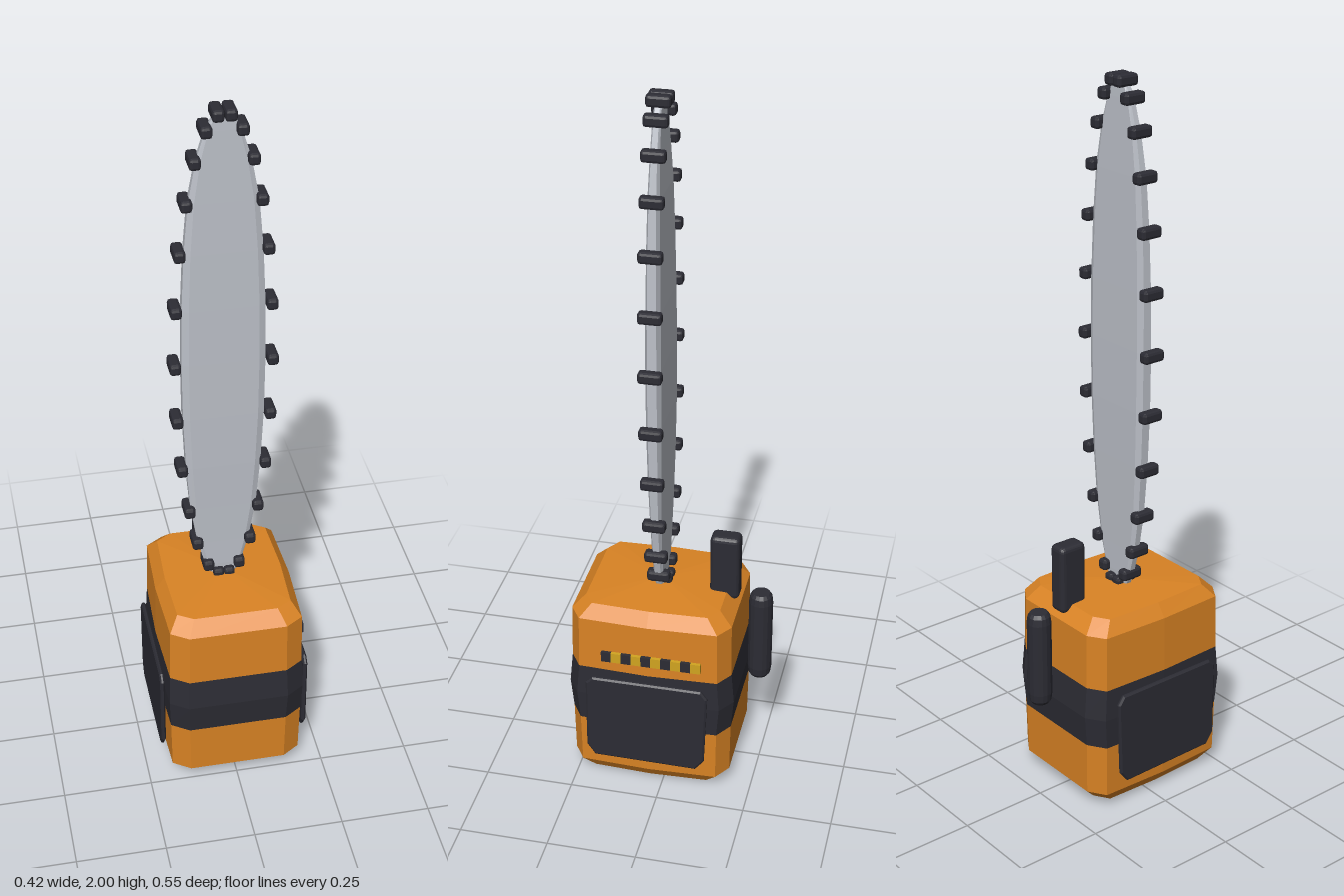
import * as THREE from 'three';
import { RoundedBoxGeometry } from 'three/addons/geometries/RoundedBoxGeometry.js';

const mat = (name, color, extra = {}) => Object.assign(new THREE.MeshStandardMaterial({ color, flatShading: true, ...extra }), { name });

// Centre of body and blade along z
const CZ = 0.038;

// Flat-shaded loft through rings of [x, y, z] points, with optional cap apexes
function loft(rings, bottom, top) {
  const pos = [];
  const tri = (...pts) => pts.forEach(p => pos.push(...p));
  const n = rings[0].length;
  for (let j = 0; j < n; j++) {
    const k = (j + 1) % n;
    for (let i = 0; i < rings.length - 1; i++) {
      const a = rings[i][j], b = rings[i][k], c = rings[i + 1][j], d = rings[i + 1][k];
      tri(a, c, b);
      tri(b, c, d);
    }
    if (bottom) tri(bottom, rings[0][j], rings[0][k]);
    const last = rings[rings.length - 1];
    if (top) tri(top, last[k], last[j]);
  }
  const g = new THREE.BufferGeometry();
  g.setAttribute('position', new THREE.Float32BufferAttribute(pos, 3));
  g.computeVertexNormals();
  return g;
}

// Ten-sided housing section with bulging sides and cut corners
const SECTION = [[0.198, 0], [0.19, 0.203], [0.14, 0.236], [-0.14, 0.236], [-0.19, 0.203],
  [-0.198, 0], [-0.19, -0.203], [-0.14, -0.236], [0.14, -0.236], [0.19, -0.203]];
const section = (y, sx, sz) => SECTION.map(([x, z]) => [x * sx, y, z * sz + CZ]);

// Blade section: flat faces with slightly bevelled edges
const bladeSection = (y, w, t) => [[w, 0.6], [0.84 * w, 1], [-0.84 * w, 1], [-w, 0.6],
  [-w, -0.6], [-0.84 * w, -1], [0.84 * w, -1], [w, -0.6]].map(([x, z]) => [x, y, z * t + CZ]);

export function createModel() {
  const root = new THREE.Group();
  root.name = 'chainsaw';
  const orange = mat('orange housing', 0xd98324);
  const dark = mat('dark rubber', 0x2c2c34);
  const steel = mat('blade steel', 0xbcc0c8);
  const yellow = mat('warning yellow', 0xd2a520);

  const add = (name, geo, material, x = 0, y = 0, z = 0, parent = root) => {
    const m = new THREE.Mesh(geo, material);
    m.name = name;
    m.position.set(x, y, z);
    parent.add(m);
    return m;
  };

  // Housing: lower shell, dark belt, upper shell
  add('lowerHousing', loft([section(0.015, 0.83, 0.8), section(0.053, 0.965, 0.955), section(0.206, 0.98, 0.965)],
    [0, 0.004, CZ]), orange);
  add('housingBelt', loft([section(0.206, 0.98, 0.965), section(0.296, 1, 1), section(0.386, 0.98, 0.965)]), dark);
  add('upperHousing', loft([section(0.386, 0.98, 0.965), section(0.545, 0.965, 0.955), section(0.583, 0.83, 0.8)],
    null, [0, 0.594, CZ]), orange);

  // Side covers
  const cover = new THREE.Shape([[-0.206, 0.13], [-0.185, 0.1], [0.1, 0.097], [0.122, 0.125],
    [0.13, 0.34], [0.115, 0.361], [-0.19, 0.361], [-0.206, 0.345]].map(p => new THREE.Vector2(...p)));
  const coverGeo = new THREE.ExtrudeGeometry(cover, { depth: 0.005, bevelThickness: 0.004, bevelSize: 0.005, bevelSegments: 1 });
  coverGeo.translate(0, 0, -0.0025).rotateY(Math.PI / 2);
  add('leftCover', coverGeo, dark, 0.204);
  add('rightCover', coverGeo, dark, -0.204);

  // Warning strip of alternating blocks on the left side
  const strip = new THREE.Group();
  strip.name = 'warningStrip';
  root.add(strip);
  const block = new THREE.BoxGeometry(0.0095, 0.03, 0.028);
  for (let i = 0; i < 10; i++) {
    add(i % 2 ? 'darkBlock' : 'yellowBlock', block, i % 2 ? dark : yellow, 0.202, 0.441, -0.101 + i * 0.028, strip);
  }

  // Guide blade: height, half width, half thickness
  const blade = [[0.57, 0.03, 0.011], [0.62, 0.05, 0.013], [0.7, 0.071, 0.014], [0.82, 0.09, 0.016],
    [0.96, 0.101, 0.019], [1.12, 0.108, 0.021], [1.29, 0.11, 0.021], [1.45, 0.108, 0.02], [1.61, 0.101, 0.018],
    [1.75, 0.089, 0.016], [1.86, 0.069, 0.013], [1.94, 0.045, 0.011], [1.985, 0.02, 0.009]];
  add('blade', loft(blade.map(b => bladeSection(...b)), [0, 0.57, CZ], [0, 1.987, CZ]), steel);

  // Chain teeth mirrored along both blade edges
  const teeth = new THREE.Group();
  teeth.name = 'chainTeeth';
  root.add(teeth);
  const tooth = new RoundedBoxGeometry(0.03, 0.032, 0.064, 1, 0.008);
  const spots = [[0.015, 0.593], [0.043, 0.625], [0.073, 0.705], [0.094, 0.816], [0.113, 0.958], [0.124, 1.117],
    [0.128, 1.286], [0.124, 1.453], [0.113, 1.614], [0.095, 1.752], [0.073, 1.864], [0.045, 1.944], [0.016, 1.984]];
  for (const [x, y] of spots) for (const s of [1, -1]) add('tooth', tooth, dark, s * x, y, CZ, teeth);

  // Top grip at the rear edge of the housing
  add('topGrip', new RoundedBoxGeometry(0.055, 0.197, 0.083, 2, 0.014), dark, 0, 0.658, -0.143);

  // Free-standing rear grip with chamfered ends
  const grip = [[0, 0.302], [0.024, 0.302], [0.031, 0.312], [0.034, 0.335], [0.034, 0.55], [0.031, 0.57], [0.024, 0.58], [0, 0.58]];
  add('rearGrip', new THREE.LatheGeometry(grip.map(p => new THREE.Vector2(...p)), 16), dark, 0, 0, -0.244);

  return root;
}
